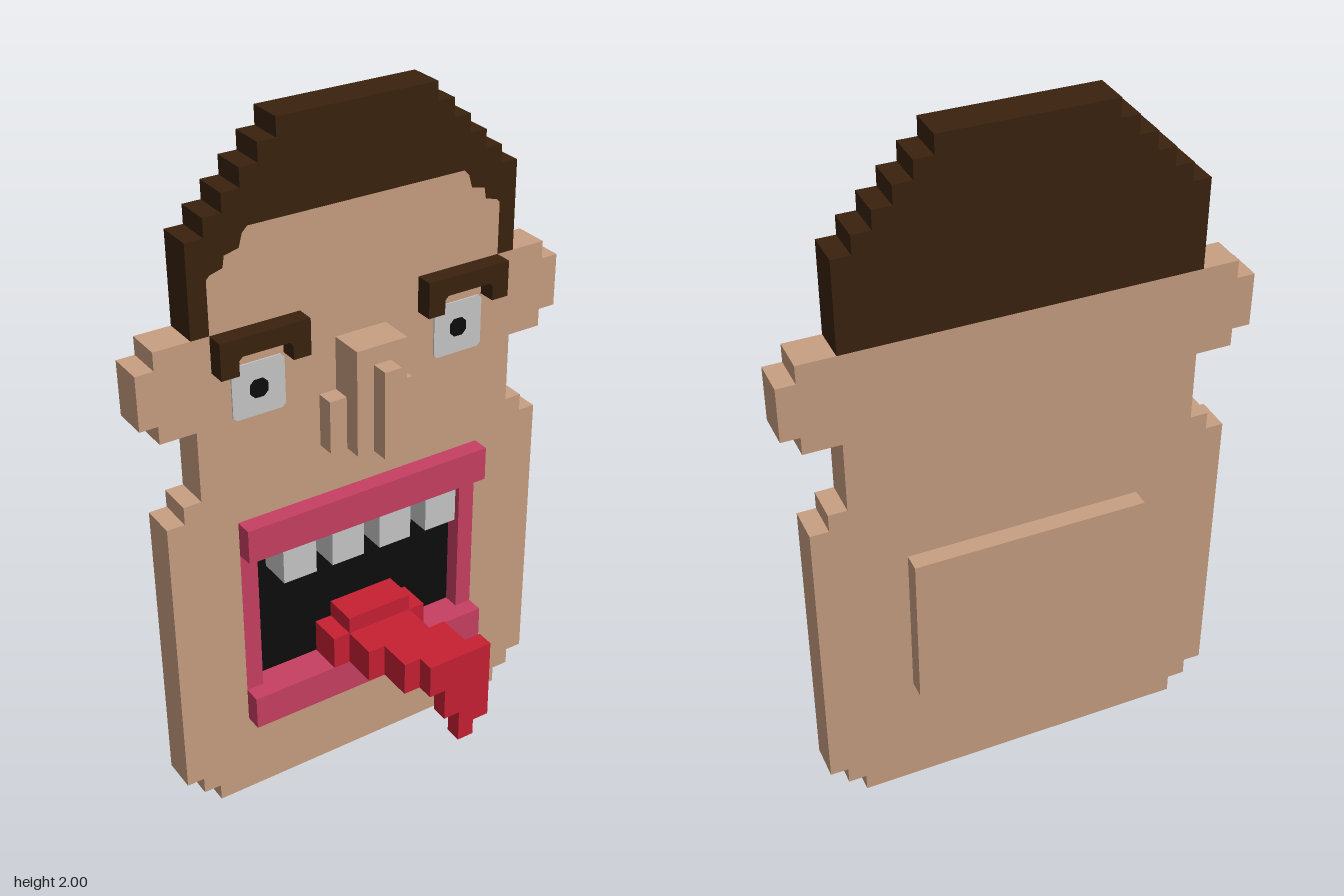
import * as THREE from 'three';

// All measurements are in cells; the finished group is 39 cells tall.
const CELL = 2 / 39;

const paint = (name, color) => {
  const m = new THREE.MeshStandardMaterial({ color });
  m.name = name;
  return m;
};

const mirror = (half) => [...half, ...half.slice().reverse().map(([x, y]) => [-x, y])];
const toVectors = (pts) => pts.map(([x, y]) => new THREE.Vector2(x, y));

export function createModel() {
  const model = new THREE.Group();
  model.name = 'blockFace';

  const skin = paint('skin', 0xc9a083);
  const hairBrown = paint('hairBrown', 0x3a220e);
  const lipPink = paint('lipPink', 0xc84062);
  const tongueRed = paint('tongueRed', 0xc82033);
  const white = paint('white', 0xc8c8c8);
  const black = paint('black', 0x0d0d0d);

  const add = (name, geometry, material) => {
    geometry.scale(CELL, CELL, CELL);
    const mesh = new THREE.Mesh(geometry, material);
    mesh.name = name;
    model.add(mesh);
  };
  const box = (name, mat, [x0, x1], [y0, y1], [z0, z1]) => {
    const g = new THREE.BoxGeometry(x1 - x0, y1 - y0, z1 - z0);
    add(name, g.translate((x0 + x1) / 2, (y0 + y1) / 2, (z0 + z1) / 2), mat);
  };
  const slab = (name, mat, pts, [z0, z1], hole) => {
    const shape = new THREE.Shape(toVectors(pts));
    if (hole) shape.holes.push(new THREE.Path(toVectors(hole)));
    const g = new THREE.ExtrudeGeometry(shape, { depth: z1 - z0, bevelEnabled: false });
    add(name, g.translate(0, 0, z0), mat);
  };

  const BACK = [-3.5, -2.5], FRONT = [-2.5, -1.5];

  // Head with stepped jaw, cheeks and ears; the front layer is open at the mouth
  const head = mirror([
    [9.5, 0], [9.5, 1], [10.5, 1], [10.5, 2], [11.5, 2], [11.5, 19], [10.5, 19], [10.5, 20],
    [9.5, 20], [9.5, 24], [11.5, 24], [11.5, 25], [12.5, 25], [12.5, 28], [11.5, 28], [11.5, 29],
  ]);
  slab('headBack', skin, head, BACK);
  slab('headFront', skin, head, FRONT, mirror([[7.5, 5], [7.5, 18]]));
  box('backPlate', skin, [-6.5, 6.5], [7, 16], [-4.5, -3.5]);

  // Hair: full stepped cap behind, arch around the forehead in front
  const hairHalf = [[9.5, 29]];
  for (let i = 0; i < 6; i++) {
    const x = 9.5 - i;
    if (i) hairHalf.push([x, 33 + i]);
    hairHalf.push([x, 34 + i]);
  }
  const foreheadHalf = [
    [8.5, 29], [8.5, 31.9], [8.3, 32.1], [7.6, 32.3], [7.5, 32.9], [6.7, 33.1], [6.5, 33.8], [6.2, 34.1],
  ];
  const forehead = mirror(foreheadHalf);
  slab('hairBack', hairBrown, mirror(hairHalf), BACK);
  slab('hairFront', hairBrown, [...mirror(hairHalf), ...forehead.slice().reverse()], FRONT);
  slab('forehead', skin, forehead, FRONT);

  // Eyes, pupils and notched eyebrows
  for (const [side, s] of [['left', 1], ['right', -1]]) {
    const at = (pts) => pts.map(([x, y]) => [6 * s + x, y]);
    slab(side + 'Eyebrow', hairBrown, at(mirror([
      [2.5, 29], [2.5, 27], [1.5, 27], [1.5, 27.8], [1.3, 28],
    ])), [-1.5, -0.5]);
    slab(side + 'Eye', white, at(mirror([
      [1.3, 24], [1.5, 24.2], [1.5, 26.8], [1.3, 27],
    ])), [-1.5, -1.42]);
    slab(side + 'Pupil', black, at(mirror([
      [0.25, 25], [0.5, 25.25], [0.5, 25.75], [0.25, 26],
    ])), [-1.42, -1.36]);
  }

  // Nose
  box('noseBody', skin, [-1.5, 1.5], [21, 27], [-1.5, 0.5]);
  box('noseBridge', skin, [-0.5, 0.5], [21, 26], [0.5, 1.5]);
  for (const s of [-1, 1]) {
    box('nostril', skin, s > 0 ? [1.5, 2.5] : [-2.5, -1.5], [21, 24], [-1.5, -0.5]);
  }

  // Mouth interior, lips and teeth
  box('mouthInterior', black, [-6.5, 6.5], [7, 16], [-2.55, -2.45]);
  box('upperLip', lipPink, [-7.5, 7.5], [16, 18], [-2.5, -0.5]);
  box('lowerLip', lipPink, [-7.5, 7.5], [5, 7], [-2.5, -0.5]);
  box('lipSideRight', lipPink, [-7.5, -6.5], [7, 16], FRONT);
  box('lipSideLeft', lipPink, [6.5, 7.5], [7, 16], FRONT);
  for (const x of [-5.5, -2.5, 0.5, 3.5]) {
    box('tooth', white, [x, x + 2], [14, 16], [-2.5, -0.5]);
  }

  // Tongue: steps sideways as it comes out, then hangs down
  box('tongueRoot', tongueRed, [-2.5, 3.5], [7, 9], [-2.5, -0.5]);
  box('tongueHump', tongueRed, [-1.5, 2.5], [9, 10], [-2.5, -0.5]);
  box('tongueMiddle', tongueRed, [-1.5, 2.5], [7, 9], [-0.5, 1.5]);
  box('tongueFront', tongueRed, [-0.5, 3.5], [7, 9], [1.5, 3.5]);
  slab('tongueTip', tongueRed, [
    [0.5, 9], [0.5, 7], [1.5, 7], [1.5, 5], [2.5, 5], [2.5, 3], [3.5, 3], [3.5, 4], [4.5, 4], [4.5, 9],
  ], [3.5, 4.5]);

  return model;
}
